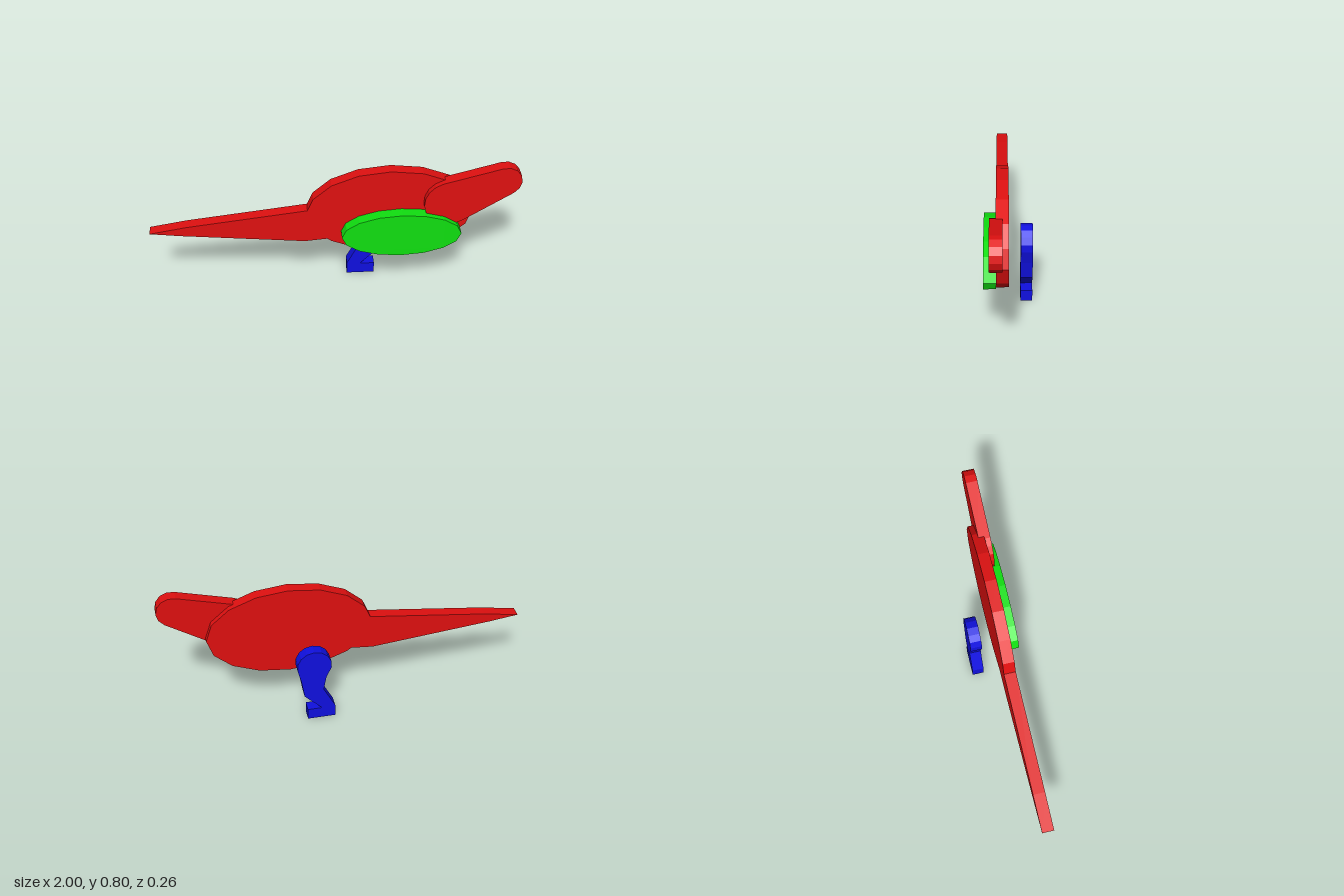
import * as THREE from 'three';

const THICK = 0.065;
const paint = (name, color) => {
  const m = new THREE.MeshStandardMaterial({ color });
  m.name = name;
  return m;
};

// points along an elliptical arc, angles in degrees
function arc(cx, cy, rx, ry, from, to, steps) {
  const pts = [];
  for (let i = 0; i <= steps; i++) {
    const a = THREE.MathUtils.degToRad(from + ((to - from) * i) / steps);
    pts.push([cx + rx * Math.cos(a), cy + ry * Math.sin(a)]);
  }
  return pts;
}

// flat slab cut from an outline, its back face at z
function slab(name, outline, z, material) {
  const shape = new THREE.Shape(outline.map(([x, y]) => new THREE.Vector2(x, y)));
  const geo = new THREE.ExtrudeGeometry(shape, { depth: THICK, bevelEnabled: false });
  const mesh = new THREE.Mesh(geo, material);
  mesh.name = name;
  mesh.position.z = z;
  return mesh;
}

export function createModel() {
  const red = paint('red', 0xe01010);
  const green = paint('green', 0x10e010);
  const blue = paint('blue', 0x1010e0);
  const model = new THREE.Group();
  model.name = 'flatCreature';

  // oval body running into a tapered tail
  const body = [
    ...arc(0.3, 0.52, 0.45, 0.26, -135, 157.5, 13),
    [-0.147, 0.547], [-0.8, 0.466], [-1, 0.431], [-0.837, 0.41],
    [-0.163, 0.342], [-0.04, 0.353],
  ];
  model.add(slab('bodyAndTail', body, 0, red));

  // neck and head: two round ends joined by tapering sides
  const head = [
    ...arc(0.91, 0.711, 0.087, 0.087, -57, 106, 6),
    ...arc(0.615, 0.581, 0.136, 0.136, 106, 303, 10),
  ];
  model.add(slab('neckAndHead', head, 0.0325, red));

  // oval wing on the front
  model.add(slab('wing', arc(0.36, 0.403, 0.325, 0.134, 0, 337.5, 15), THICK, green));

  // leg behind the body: round hip, shin and foot
  const leg = [
    ...arc(0.19, 0.356, 0.095, 0.095, -10, 190, 8),
    [0.126, 0.278], [0.142, 0.193], [0.078, 0.07], [0.078, 0],
    [0.233, 0], [0.233, 0.065], [0.153, 0.065], [0.249, 0.16], [0.265, 0.262],
  ];
  model.add(slab('leg', leg, -2 * THICK, blue));

  return model;
}
